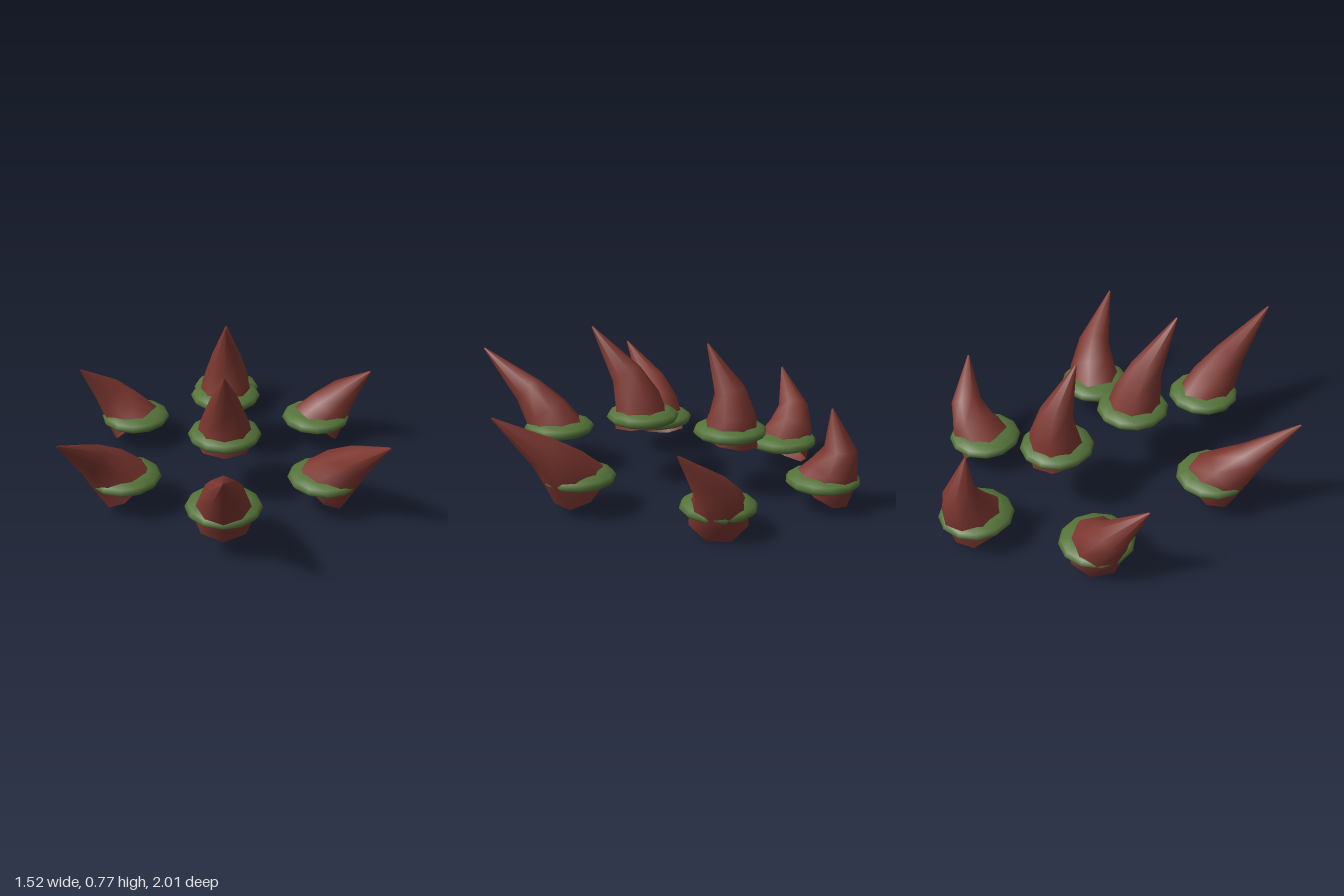
import * as THREE from 'three';

const SIDES = 8;
// [distance along the horn, radius]
const RINGS = [[0, 0.145], [0.28, 0.119], [0.55, 0.08], [1, 0.005]];
const LENGTH = 0.43;
const SWEEP = new THREE.Vector3(0, 0.04, 0.21);

// Horn that leaves its base along `direction` and sweeps forward towards the tip
function hornGeometry(direction) {
  const out = direction.clone().normalize().multiplyScalar(LENGTH);
  const up = new THREE.Vector3(0, 1, 0);
  const positions = [], indices = [];
  for (const [t, radius] of RINGS) {
    const centre = out.clone().multiplyScalar(t).addScaledVector(SWEEP, t ** 2.3);
    const tangent = out.clone().addScaledVector(SWEEP, 2.3 * t ** 1.3).normalize();
    const turn = new THREE.Quaternion().setFromUnitVectors(up, tangent);
    for (let i = 0; i < SIDES; i++) {
      const a = (i / SIDES) * Math.PI * 2;
      const p = new THREE.Vector3(Math.sin(a) * radius, 0, Math.cos(a) * radius);
      p.applyQuaternion(turn).add(centre);
      positions.push(p.x, p.y, p.z);
    }
  }
  for (let r = 0; r < RINGS.length - 1; r++) {
    for (let i = 0; i < SIDES; i++) {
      const a = r * SIDES + i, b = r * SIDES + (i + 1) % SIDES;
      indices.push(a, b, b + SIDES, a, b + SIDES, a + SIDES);
    }
  }
  // Close the tiny tip
  const top = (RINGS.length - 1) * SIDES;
  for (let i = 1; i < SIDES - 1; i++) indices.push(top, top + i, top + i + 1);
  const geometry = new THREE.BufferGeometry();
  geometry.setAttribute('position', new THREE.Float32BufferAttribute(positions, 3));
  geometry.setIndex(indices);
  geometry.computeVertexNormals();
  return geometry;
}

export function createModel() {
  const hornRed = new THREE.MeshStandardMaterial({ color: 0x7d3730, side: THREE.DoubleSide });
  hornRed.name = 'horn red';
  const collarGreen = new THREE.MeshStandardMaterial({ color: 0x557339 });
  collarGreen.name = 'collar green';

  // Flattened round cushion around each horn
  const collarGeometry = new THREE.SphereGeometry(0.18, 12, 8);
  collarGeometry.scale(1, 0.05 / 0.18, 1);

  const model = new THREE.Group();
  model.name = 'hornCluster';

  function addSpike(name, position, direction) {
    const spike = new THREE.Group();
    spike.name = name;
    spike.position.set(...position);
    const collar = new THREE.Mesh(collarGeometry, collarGreen);
    collar.name = 'collar';
    const horn = new THREE.Mesh(hornGeometry(new THREE.Vector3(...direction)), hornRed);
    horn.name = 'horn';
    horn.position.y = -0.04;
    spike.add(collar, horn);
    model.add(spike);
  }

  // Middle row, front to back: position and forward tilt in degrees
  const row = [
    ['frontSpike', 0.23, 0.58, 30],
    ['upperFrontSpike', 0.35, 0.11, 8],
    ['upperBackSpike', 0.33, -0.35, -12],
    ['backSpike', 0.145, -0.82, -34],
  ];
  for (const [name, y, z, degrees] of row) {
    const a = THREE.MathUtils.degToRad(degrees);
    addSpike(name, [0, y, z], [0, Math.cos(a), Math.sin(a)]);
  }

  // Mirrored side pairs
  for (const [side, s] of [['left', 1], ['right', -1]]) {
    addSpike(side + 'FrontSpike', [s * 0.485, 0.18, 0.23], [s * 0.27, 0.335, 0.09]);
    addSpike(side + 'BackSpike', [s * 0.485, 0.14, -0.47], [s * 0.27, 0.315, -0.12]);
  }
  return model;
}
